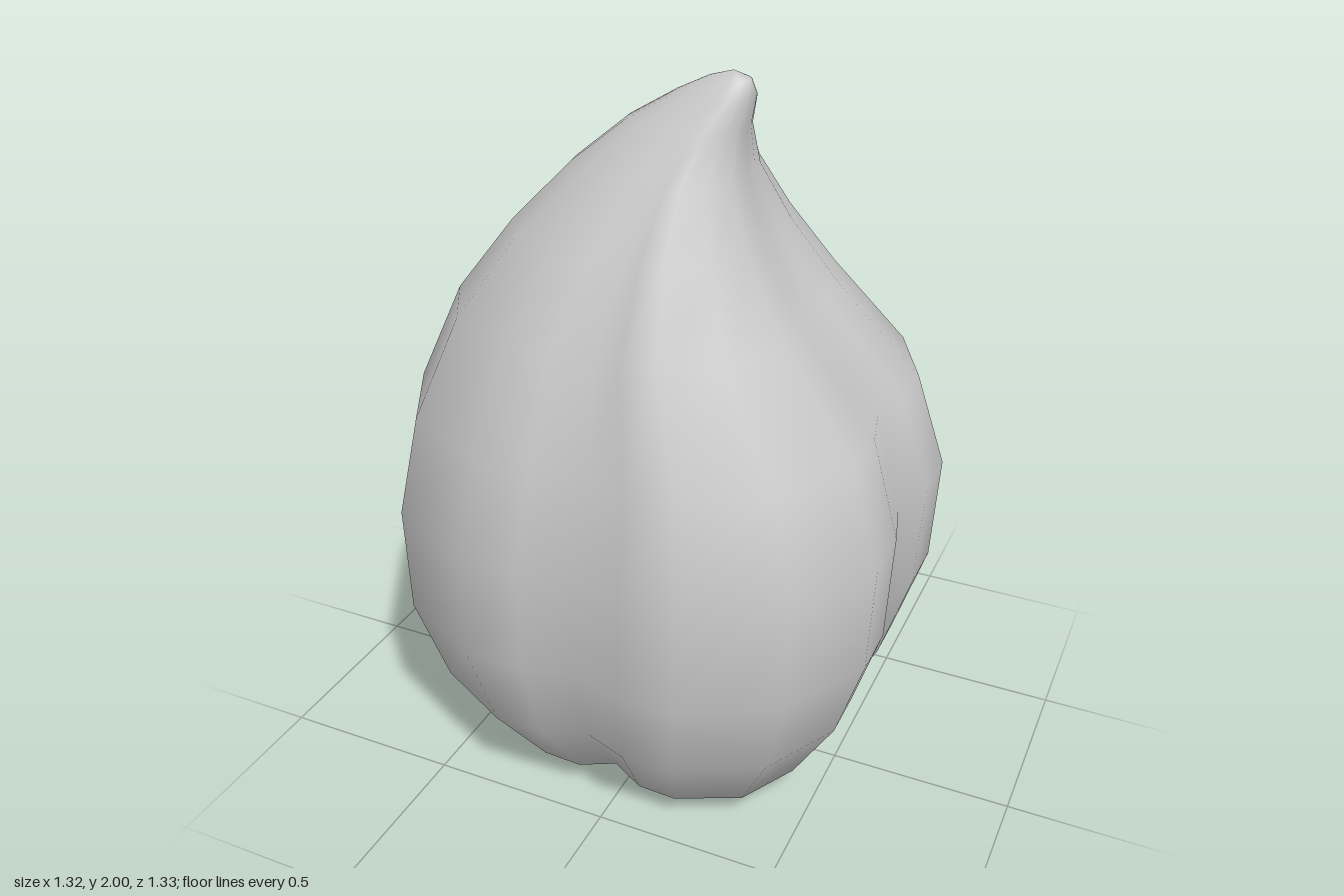
import * as THREE from 'three';
import { mergeVertices } from 'three/addons/utils/BufferGeometryUtils.js';

// Rings from the pit under the base up to the bent tip:
// y, spine x, spine z, left x, right x, back z, front z, groove radius, groove lift
const RINGS = [
  [0.09, 0, 0, 0, 0, 0, 0, 1, 0],
  [0.09, 0, 0, -0.13, 0.13, -0.13, 0.13, 1, 0],
  [0.03, 0, 0, -0.16, 0.16, -0.16, 0.16, 0.95, 0.02],
  [0.012, 0, 0, -0.29, 0.25, -0.26, 0.24, 0.88, 0.02],
  [0.1, 0, 0, -0.46, 0.45, -0.47, 0.45, 0.89, 0.01],
  [0.31, -0.01, 0, -0.6, 0.58, -0.6, 0.585, 0.91, 0],
  [0.56, 0, 0, -0.675, 0.66, -0.68, 0.66, 0.92, 0],
  [0.86, 0.02, 0, -0.677, 0.675, -0.68, 0.678, 0.925, 0],
  [1.13, 0.04, 0.015, -0.615, 0.6, -0.58, 0.64, 0.925, 0],
  [1.4, 0.03, 0.08, -0.48, 0.41, -0.37, 0.55, 0.92, 0],
  [1.6, 0.06, 0.13, -0.32, 0.31, -0.18, 0.455, 0.93, 0],
  [1.76, 0.1, 0.17, -0.17, 0.26, -0.04, 0.365, 0.94, 0],
  [1.87, 0.15, 0.18, -0.035, 0.257, 0.06, 0.3, 0.96, 0],
  [1.945, 0.21, 0.19, 0.09, 0.277, 0.12, 0.25, 0.99, 0],
  [1.982, 0.23, 0.19, 0.165, 0.266, 0.155, 0.225, 1, 0],
  [2.0, 0.225, 0.19, 0.225, 0.225, 0.19, 0.19, 1, 0],
];

// One quarter of the cross-section: a groove followed by a broad lobe
const LOBE = [[1, 0], [0.98, 0.2], [0.98, 0.43], [0.79, 0.79], [0.43, 0.98], [0.2, 0.98]];
const SIDES = LOBE.length * 4;

function sectionPoint(j, groove, roundness) {
  const k = j % LOBE.length;
  let [u, v] = LOBE[k];
  if (k === 0) u = groove;
  // Blend toward a circle where the bulb narrows to its tip
  const s = 1 + (1 / Math.hypot(u, v) - 1) * roundness;
  u *= s;
  v *= s;
  // Quarter turns repeat the lobe
  for (let q = Math.floor(j / LOBE.length); q > 0; q--) [u, v] = [-v, u];
  return [u, v];
}

function bulbGeometry() {
  const positions = [];
  const index = [];
  RINGS.forEach(([y, cx, cz, x0, x1, z0, z1, groove, lift], i) => {
    const roundness = Math.min(1, Math.max(0, (y - 1.6) / 0.35));
    for (let j = 0; j < SIDES; j++) {
      const [u, v] = sectionPoint(j, groove, roundness);
      const x = cx + u * (u > 0 ? x1 - cx : cx - x0);
      const z = cz + v * (v > 0 ? z1 - cz : cz - z0);
      // The base leans slightly down toward +x
      const lean = y < 0.2 ? -0.045 * x : 0;
      positions.push(x, y + lean + (j % LOBE.length === 0 ? lift : 0), z);
      if (i < RINGS.length - 1) {
        const a = i * SIDES + j;
        const b = i * SIDES + ((j + 1) % SIDES);
        index.push(a, a + SIDES, b, b, a + SIDES, b + SIDES);
      }
    }
  });
  const geometry = new THREE.BufferGeometry();
  geometry.setAttribute('position', new THREE.Float32BufferAttribute(positions, 3));
  geometry.setIndex(index);
  const merged = mergeVertices(geometry);
  merged.computeVertexNormals();
  return merged;
}

export function createModel() {
  const group = new THREE.Group();
  group.name = 'lobedBulb';
  const material = new THREE.MeshStandardMaterial({ color: 0xcccccc });
  const bulb = new THREE.Mesh(bulbGeometry(), material);
  bulb.name = 'bulb';
  group.add(bulb);
  return group;
}
